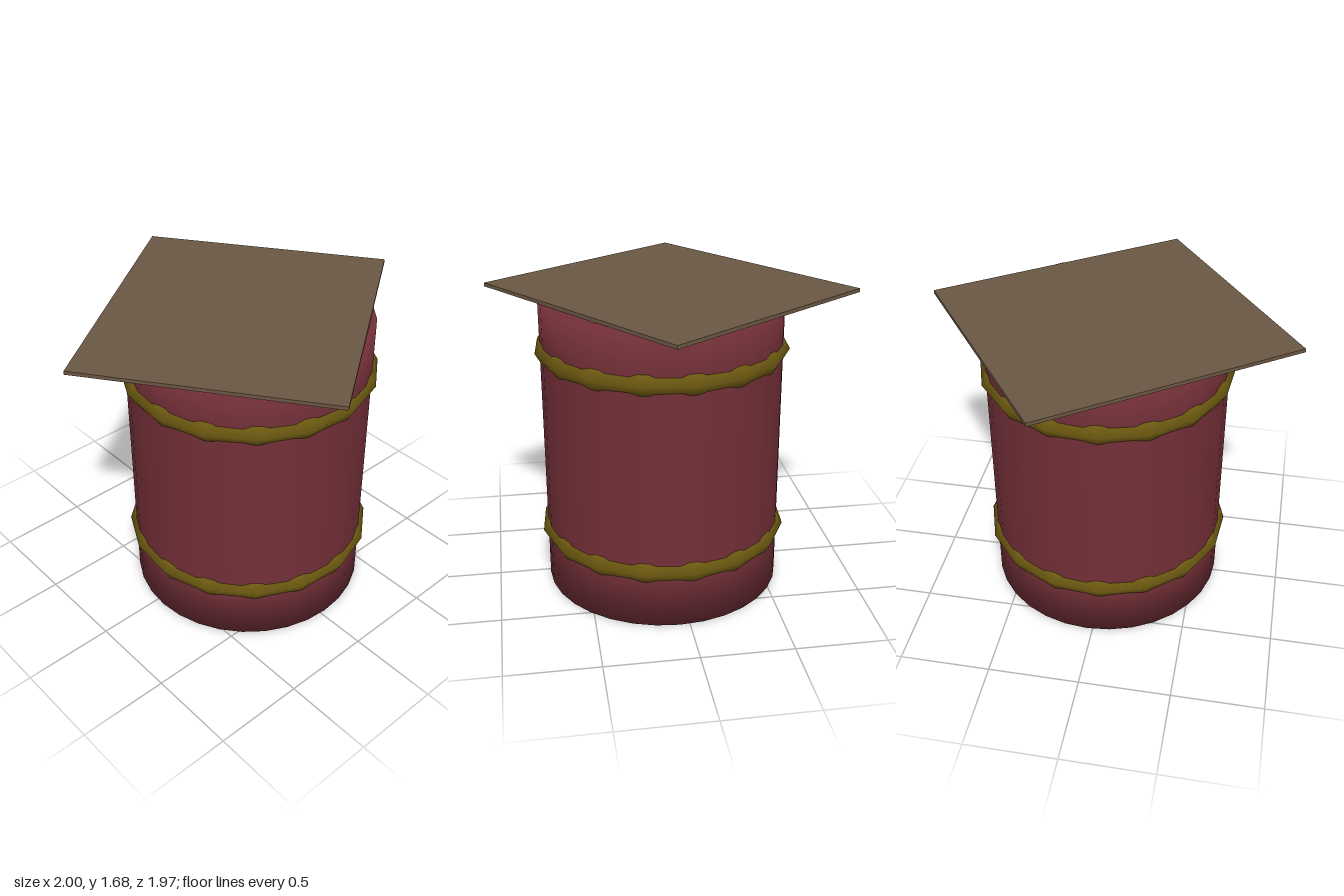
import * as THREE from 'three';

const CX = 0.033, CZ = 0.052; // drum axis, slightly off the lid's centre
const HEIGHT = 1.66, RADIUS = 0.658;

export function createModel() {
  const group = new THREE.Group();
  const add = (name, geometry, color, x, y, z) => {
    const mesh = new THREE.Mesh(geometry, new THREE.MeshStandardMaterial({ color }));
    mesh.name = name;
    mesh.position.set(x, y, z);
    group.add(mesh);
    return mesh;
  };

  // Closed drum; the shared profile corners give softly shaded rims
  const profile = [[0, 0], [RADIUS, 0], [RADIUS, 0.27], [RADIUS, 1.42], [RADIUS, HEIGHT], [0, HEIGHT]]
    .map(([r, y]) => new THREE.Vector2(r, y));
  add('barrelBody', new THREE.LatheGeometry(profile, 32), 0x722f37, CX, 0, CZ);

  // Two hoops with a six-sided section
  for (const [name, y] of [['lowerHoop', 0.32], ['upperHoop', 1.37]]) {
    const hoop = new THREE.TorusGeometry(0.628, 0.064, 6, 16);
    hoop.rotateX(Math.PI / 2).rotateY(0.11);
    add(name, hoop, 0x6b5810, CX, y, CZ);
  }

  // Thin board laid askew on top
  const lid = add('lid', new THREE.BoxGeometry(1.485, 0.02, 1.358), 0x6b5744, 0, HEIGHT + 0.01, 0);
  lid.rotation.y = 0.618;

  return group;
}
